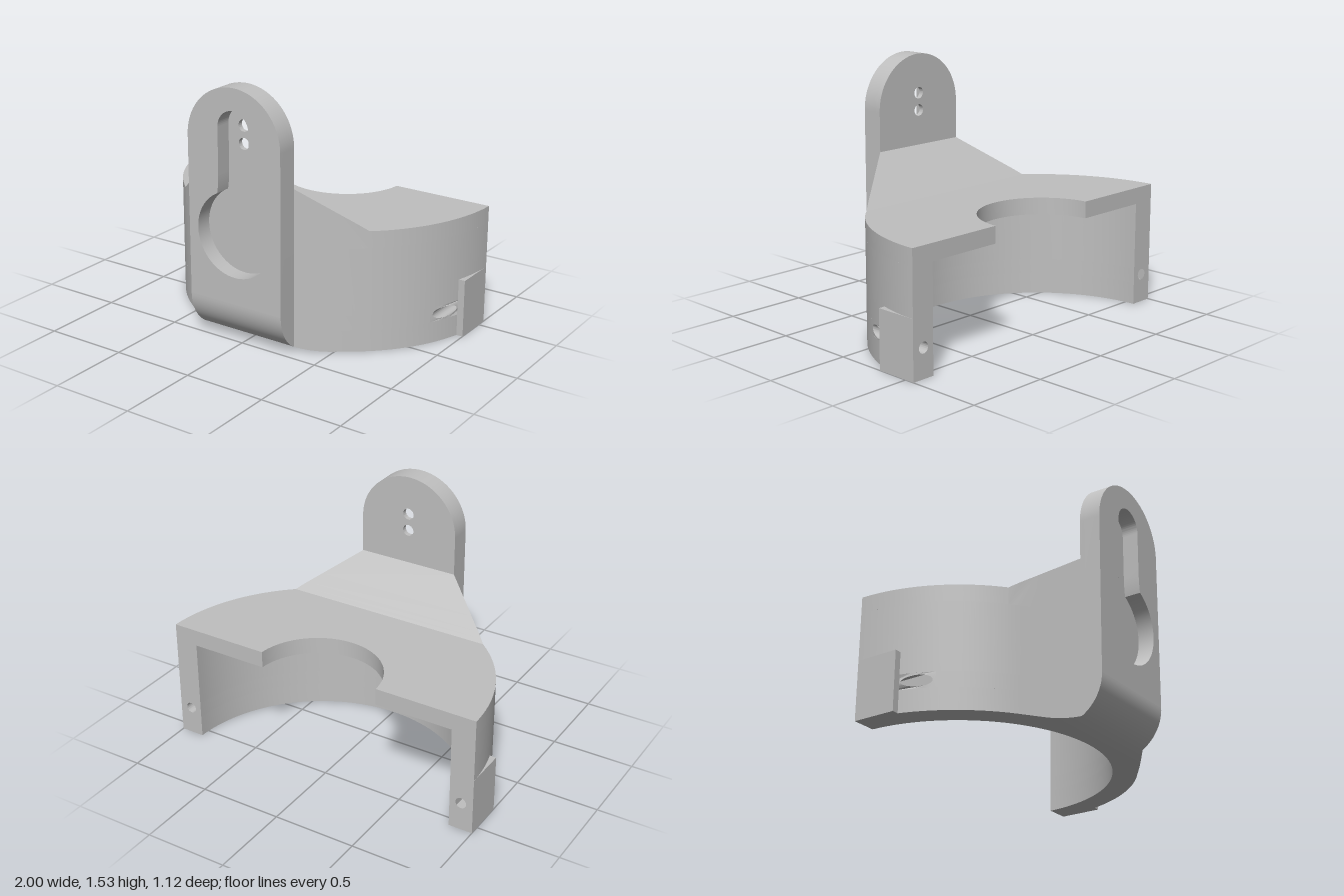
import * as THREE from 'three';
import { toCreasedNormals } from 'three/addons/utils/BufferGeometryUtils.js';

const ZC = -0.58, BACK = -0.56;      // centre of the round body, flat back
const R_IN = 0.855, R_CUT = 0.38;    // cavity and top cut-out radii
const TOP = 0.73, CEILING = 0.63;
const HALF = 0.315, PLATE_Z = 0.43, FRONT = 0.56;
const TANGENT_Z = 0.225, FILLET = 0.26;

// half width of the body at a given depth: round, then tapering straight to the plate
const halfWidth = z => z < TANGENT_Z
  ? Math.sqrt(1 - (z - ZC) ** 2)
  : HALF + (PLATE_Z - z) * 1.357;
// underside height, rounded towards the front
const underside = z => {
  const d = Math.max(0, z - (FRONT - FILLET));
  return FILLET - Math.sqrt(Math.max(0, FILLET ** 2 - d * d));
};
const steps = (a, b, n) => Array.from({ length: n + 1 }, (_, i) => a + (b - a) * i / n);
const arc = (r, n) => {              // from +x to -x, clipped at the flat back
  const a0 = Math.asin((BACK - ZC) / r);
  return steps(a0, Math.PI - a0, n).map(a => [r * Math.cos(a), ZC + r * Math.sin(a)]);
};
const shapeOf = pts => new THREE.Shape(pts.map(p => new THREE.Vector2(p[0], p[1])));
const circle = (x, y, r) => new THREE.Path().absarc(x, y, r, 0, Math.PI * 2, true);
const extrude = (shape, depth) =>
  new THREE.ExtrudeGeometry(shape, { depth, bevelEnabled: false, curveSegments: 32 });

// [x, z] outline raised from y0 to y1
const plan = (pts, y0, y1) =>
  extrude(shapeOf(pts.map(([x, z]) => [x, -z])), y1 - y0).rotateX(-Math.PI / 2).translate(0, y0, 0);
// [z, y] outline spread over x = -half..half
const profile = (pts, half) =>
  extrude(shapeOf(pts), 2 * half).rotateY(-Math.PI / 2).translate(half, 0, 0);

// outer outline from the right-hand back corner round to the left one, stopping at zMax
function outer(zMax, xMax = 1) {
  const a0 = xMax < 1 ? Math.acos(xMax) : Math.asin(BACK - ZC);
  const a1 = Math.asin(Math.min(zMax, TANGENT_Z) - ZC);
  const side = steps(a0, a1, 32).map(a => [Math.cos(a), ZC + Math.sin(a)]);
  if (xMax < 1) side.unshift([xMax, BACK]);
  if (zMax > TANGENT_Z) side.push([halfWidth(zMax), zMax]);
  return [...side, ...side.map(([x, z]) => [-x, z]).reverse()];
}

export function createModel() {
  const group = new THREE.Group();
  const grey = new THREE.MeshStandardMaterial({ color: 0xbfbfbf });
  grey.name = 'grey';
  const add = (name, geo) => {
    const mesh = new THREE.Mesh(toCreasedNormals(geo, 0.45), grey);
    mesh.name = name;
    group.add(mesh);
  };

  // curved wall, in layers so that the middle one leaves room for the screw holes
  const seam = 0.28, holeLow = 0.13, holeHigh = 0.22, holeX = 0.885;
  const inner = arc(R_IN, 64).reverse();
  add('lowerWall', plan([...outer(seam), ...inner], 0, holeLow));
  add('middleWall', plan([...outer(seam, holeX), ...inner], holeLow, holeHigh));
  add('upperWall', plan([...outer(seam), ...inner], holeHigh, CEILING));

  // top deck with round cut-out
  add('topDeck', plan([...outer(0.18), ...arc(R_CUT, 48).reverse()], CEILING, TOP));

  // sloped front block, narrowed to follow the outline
  const slopeZ = [0.18, 0.2, TANGENT_Z, seam, PLATE_Z];
  const block = profile([
    ...slopeZ.map(z => [z, TOP + z - 0.18]),
    ...steps(PLATE_Z, 0.3, 10).map(z => [z, underside(z)]),
    [seam, 0], [seam, CEILING], [TANGENT_Z, CEILING], [0.2, CEILING], [0.18, CEILING],
  ], 1);
  const bp = block.attributes.position;
  for (let i = 0; i < bp.count; i++) bp.setX(i, bp.getX(i) * halfWidth(bp.getZ(i)));
  add('frontBlock', block);

  // rounded foot of the mounting plate
  add('plateFoot', profile([
    [PLATE_Z, FILLET],
    ...steps(Math.PI * 1.5 + Math.asin(0.5), Math.PI * 2, 20)
      .map(a => [FRONT - FILLET + FILLET * Math.cos(a), FILLET + FILLET * Math.sin(a)]),
  ], HALF));

  // mounting plate: back layer with two small holes, front layer with keyhole recess
  const plateShape = () => new THREE.Shape()
    .moveTo(-HALF, FILLET).lineTo(HALF, FILLET).lineTo(HALF, 1.215)
    .absarc(0, 1.215, HALF, 0, Math.PI, false).lineTo(-HALF, FILLET);
  const floorZ = 0.46;
  const backPlate = plateShape();
  backPlate.holes.push(circle(0, 1.295, 0.035), circle(0, 1.19, 0.035));
  add('plateBack', extrude(backPlate, floorZ - PLATE_Z).translate(0, 0, PLATE_Z));

  const frontPlate = plateShape();
  const neck = Math.acos(0.115 / 0.255);
  frontPlate.holes.push(new THREE.Path()
    .absarc(0, 0.68, 0.255, Math.PI - neck, Math.PI * 2 + neck, false)
    .quadraticCurveTo(0.106, 0.96, 0.105, 1.02)
    .lineTo(0.105, 1.295)
    .absarc(0, 1.295, 0.105, 0, Math.PI, false)
    .lineTo(-0.105, 1.02)
    .quadraticCurveTo(-0.106, 0.96, -0.115, 0.68 + 0.255 * Math.sin(neck)));
  add('plateFront', extrude(frontPlate, FRONT - floorZ).translate(0, 0, floorZ));

  // screw hole blocks (front face bent onto the round wall) and square side tabs
  for (const [side, s] of [['left', 1], ['right', -1]]) {
    const xs = [holeX, 0.9, 0.92, 0.94, 0.96, 0.975, 0.99, 0.9998];
    const rect = shapeOf([
      ...xs.map(x => [s * x, holeLow]),
      ...xs.slice().reverse().map(x => [s * x, holeHigh]),
    ]);
    rect.holes.push(circle(s * 0.925, 0.175, 0.033));
    const geo = extrude(rect, 1);
    const p = geo.attributes.position;
    for (let i = 0; i < p.count; i++) {
      const x = Math.min(1, Math.abs(p.getX(i)));
      p.setZ(i, p.getZ(i) > 0.5 ? Math.max(BACK, ZC + Math.sqrt(1 - x * x)) : BACK);
    }
    add(side + 'ScrewHole', geo);
    add(side + 'Tab', new THREE.BoxGeometry(0.041, 0.35, 0.26).translate(s * 0.9795, 0.175, -0.43));
  }
  return group;
}
